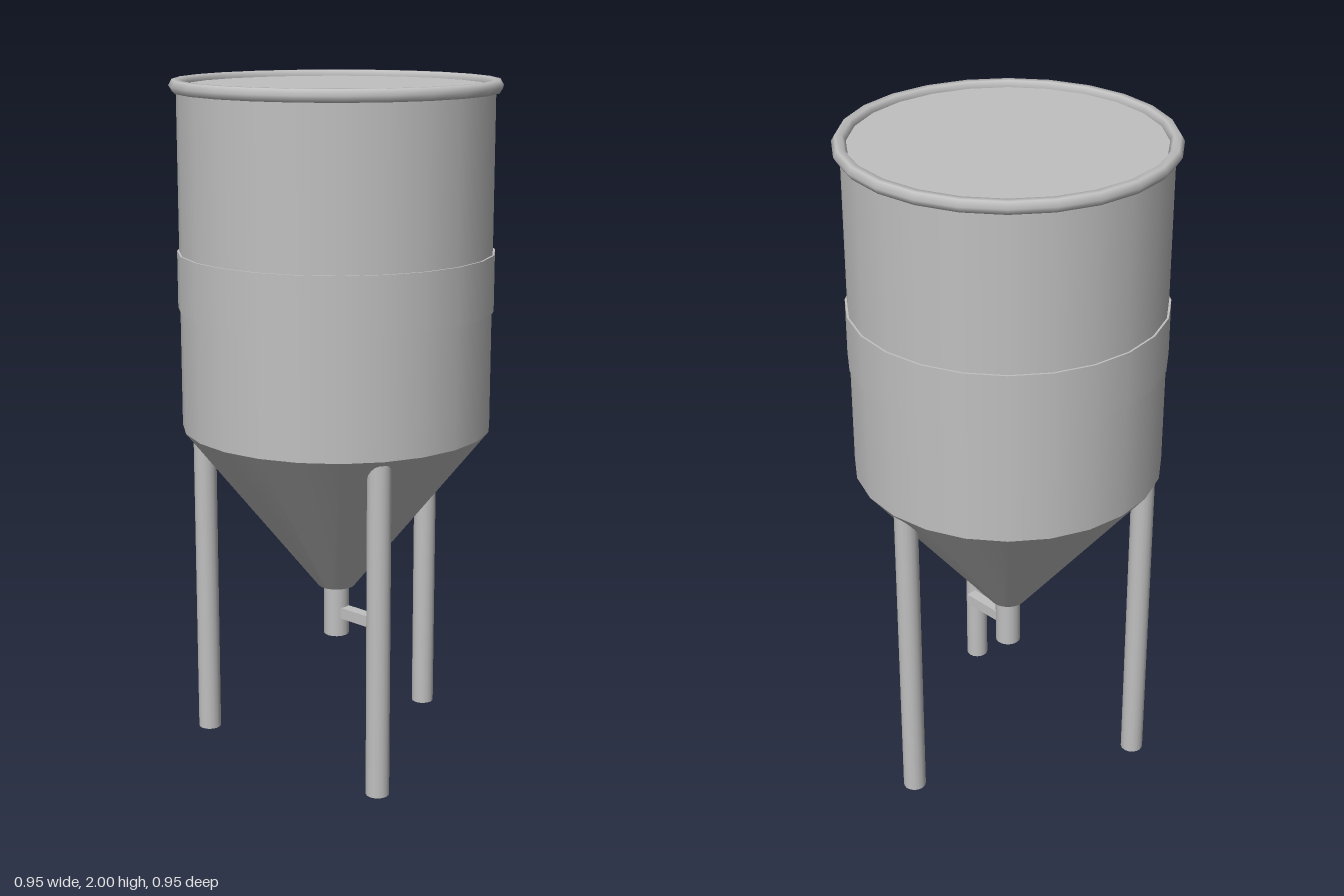
import * as THREE from 'three';

export function createModel() {
  const model = new THREE.Group();
  model.name = 'hopperTank';
  const steel = new THREE.MeshStandardMaterial({ color: 0xc0c0c0 });
  steel.name = 'steel grey';

  const add = (name, geometry, x, y, z) => {
    const mesh = new THREE.Mesh(geometry, steel);
    mesh.name = name;
    mesh.position.set(x, y, z);
    model.add(mesh);
    return mesh;
  };
  // Upright cylinder or cone placed by its bottom and top heights
  const column = (name, rTop, rBottom, y0, y1, sides, x = 0, z = 0) =>
    add(name, new THREE.CylinderGeometry(rTop, rBottom, y1 - y0, sides), x, (y0 + y1) / 2, z);

  // Tank: closed barrel, raised band and tapering hopper
  column('barrel', 0.452, 0.452, 1, 1.983, 24);
  column('band', 0.458, 0.458, 1.35, 1.515, 24);
  column('hopperCone', 0.452, 0.055, 0.5, 1, 24);

  // Rolled rim round the lid
  const rim = new THREE.TorusGeometry(0.453, 0.02, 6, 24);
  rim.rotateX(Math.PI / 2);
  add('rim', rim, 0, 1.9827, 0);

  // Outlet spout with its valve handle
  column('outlet', 0.038, 0.038, 0.345, 0.51, 16);
  add('valveHandle', new THREE.BoxGeometry(0.145, 0.034, 0.034), 0.0925, 0.418, 0);

  // Three legs, one at the back and two towards the front
  for (let i = 0; i < 3; i++) {
    const a = Math.PI + (i * Math.PI * 2) / 3;
    column('leg' + (i + 1), 0.034, 0.034, 0, 1, 16, 0.407 * Math.sin(a), 0.407 * Math.cos(a));
  }
  return model;
}
